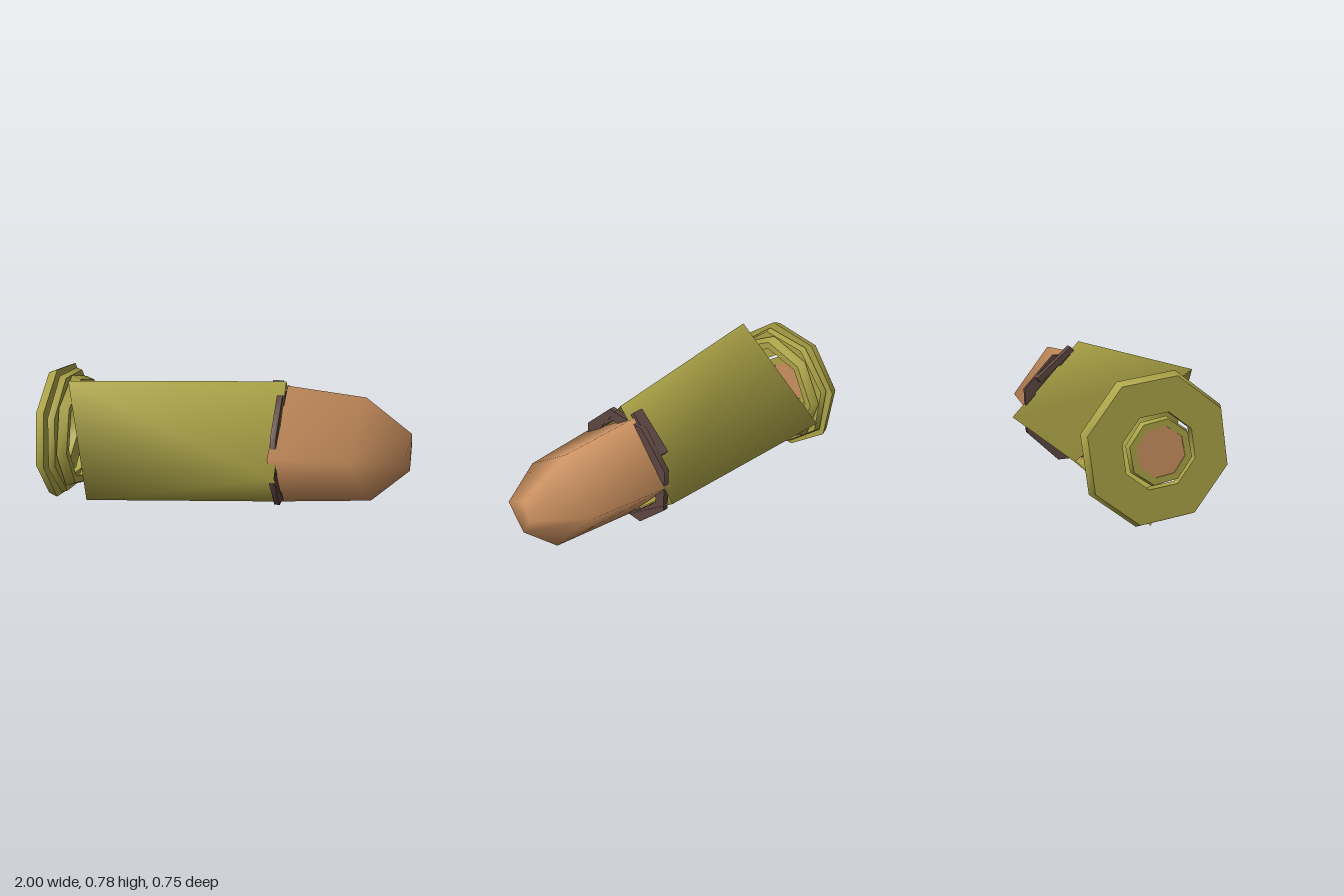
import * as THREE from 'three';
import { toCreasedNormals } from 'three/addons/utils/BufferGeometryUtils.js';

const AXIS_Y = 0.41;

function material(name, color) {
  const m = new THREE.MeshStandardMaterial({ color, side: THREE.DoubleSide });
  m.name = name;
  return m;
}

// Skin over rings of [x, y, z] points with rounded normals; slopes = forward lean of each ring's normals
function loft(rings, slopes, capped) {
  const n = rings[0].length;
  const pos = [], nor = [], idx = [];
  const v = new THREE.Vector3();
  rings.forEach((ring, i) => ring.forEach(([x, y, z]) => {
    pos.push(x, y, z);
    v.set(0, y - AXIS_Y, z).normalize().setX(slopes[i]).normalize();
    nor.push(v.x, v.y, v.z);
  }));
  for (let i = 0; i < rings.length - 1; i++) {
    for (let j = 0; j < n; j++) {
      const a = i * n + j, b = i * n + (j + 1) % n;
      idx.push(a, b, a + n, b, b + n, a + n);
    }
  }
  if (capped) {
    const s = (rings.length - 1) * n;
    for (let j = 1; j < n - 1; j++) idx.push(s, s + j, s + j + 1);
  }
  const g = new THREE.BufferGeometry();
  g.setAttribute('position', new THREE.Float32BufferAttribute(pos, 3));
  g.setAttribute('normal', new THREE.Float32BufferAttribute(nor, 3));
  g.setIndex(idx);
  return g;
}

// Low-sided hollow ring along x
function ring(x0, x1, inner, outer0, outer1, sides, turn) {
  const profile = [[inner, x0], [outer0, x0], [outer1, x1], [inner, x1], [inner, x0]]
    .map(([r, x]) => new THREE.Vector2(r, x));
  const g = new THREE.LatheGeometry(profile, sides);
  g.rotateY(turn);
  g.rotateZ(-Math.PI / 2);
  g.translate(0, AXIS_Y, 0);
  return toCreasedNormals(g, 0.9);
}

export function createModel() {
  const group = new THREE.Group();
  const brass = material('brass', 0xaaa246);
  const copper = material('copper', 0xc98f5e);
  const darkBrown = material('dark brown', 0x5c4540);

  function add(name, geometry, mat) {
    const mesh = new THREE.Mesh(geometry, mat);
    mesh.name = name;
    group.add(mesh);
    return mesh;
  }

  // Case: three-cornered at the rear, four-cornered at the mouth
  add('caseBody', loft([
    [[-0.81, 0.765, 0.23], [-0.81, 0.765, 0.23], [-0.81, 0, 0.025], [-0.81, 0.35, -0.365]],
    [[0.33, 0.775, 0.02], [0.33, 0.35, 0.36], [0.33, 0.085, 0.01], [0.33, 0.36, -0.37]],
  ], [0, 0], false), brass);

  // Bullet: four-cornered ogive with a blunt tip
  add('bullet', loft([
    [[0.29, 0.73, -0.06], [0.29, 0.45, 0.355], [0.29, 0.08, 0.005], [0.29, 0.42, -0.31]],
    [[0.75, 0.695, -0.04], [0.7, 0.45, 0.31], [0.8, 0.13, 0.005], [0.75, 0.42, -0.25]],
    [[1, 0.52, -0.01], [0.975, 0.42, 0.155], [1, 0.32, 0.01], [1, 0.42, -0.05]],
  ], [0.1, 0.45, 1.6], true), copper);

  // Mouth lining that peeks out between case and bullet
  add('mouthLining', ring(0.295, 0.325, 0.26, 0.325, 0.325, 8, 0.35), darkBrown);
  const chip = add('mouthChip', new THREE.BoxGeometry(0.06, 0.03, 0.26), darkBrown);
  chip.position.set(0.275, 0.66, -0.14);
  chip.rotation.x = -0.72;

  // Rear collars, extraction groove and rim
  add('frontCollar', ring(-0.86, -0.81, 0.27, 0.33, 0.31, 8, 0.1), brass);
  add('grooveCollar', ring(-0.905, -0.87, 0.27, 0.355, 0.345, 8, 0.3), brass);
  add('rim', ring(-0.97, -0.92, 0.19, 0.365, 0.385, 8, 0.25), brass);

  // Primer in the base
  add('primerRing', ring(-0.995, -0.965, 0.125, 0.16, 0.17, 8, 0.2), brass);
  const primer = new THREE.CylinderGeometry(0.135, 0.135, 0.02, 8);
  primer.rotateZ(Math.PI / 2);
  add('primer', primer, copper).position.set(-0.98, AXIS_Y, 0);

  return group;
}
